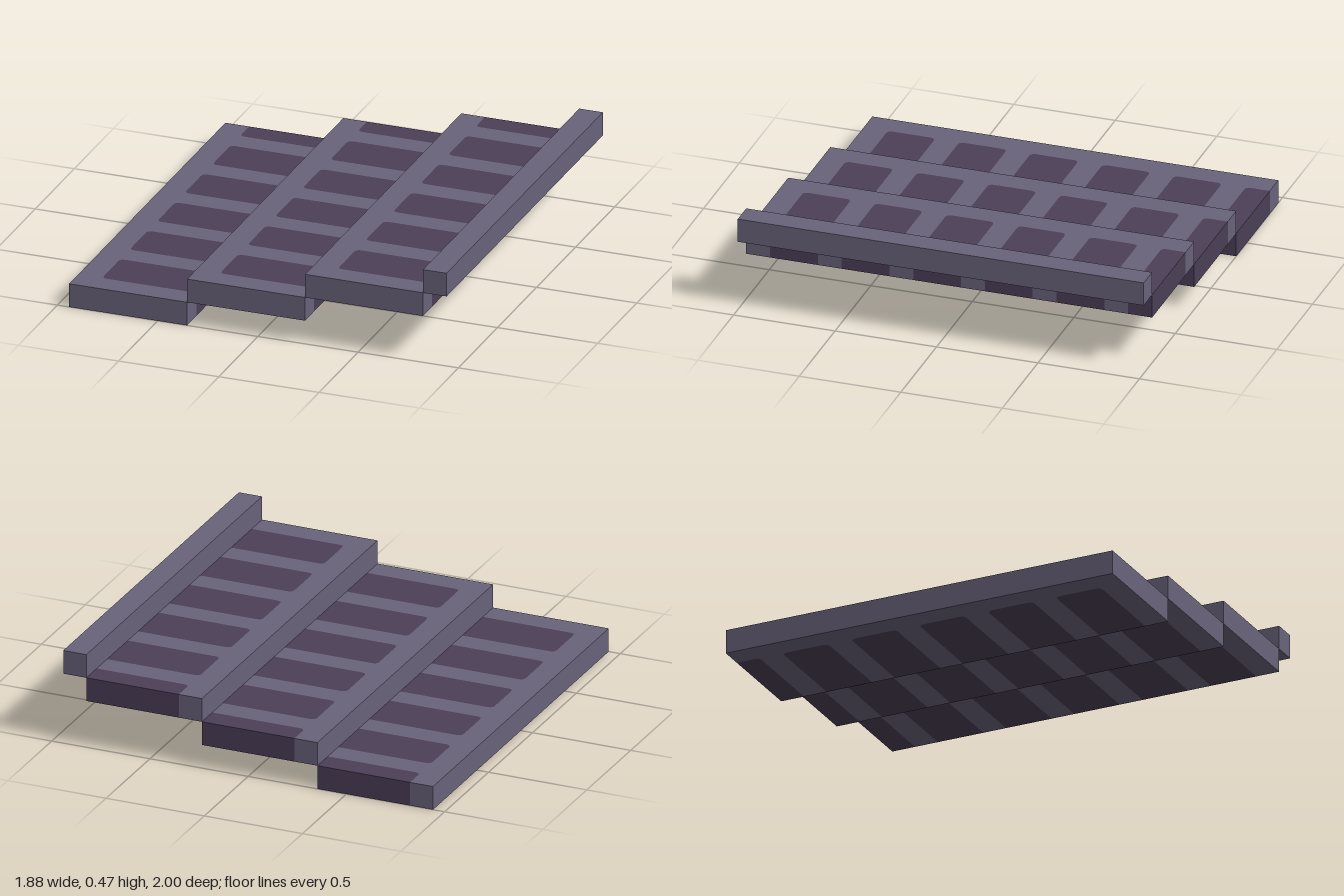
import * as THREE from 'three';

const U = 2 / 17;      // thickness of a slab; every size is a multiple of it
const HALF = 8.5;      // half the length
const R = 0.22;        // corner radius of an inlay

// Outline of one inlay, from its open end around the rounded end and back
function traceInlay(shape, k) {
  const b = 7.5 - 3 * k;
  const t = Math.min(b + 2, HALF);
  shape.lineTo(5, b);
  shape.lineTo(1 + R, b);
  shape.quadraticCurveTo(1, b, 1, b + R);
  if (k === 0) {
    shape.lineTo(1, t);  // the rearmost inlay is cut off by the back edge
  } else {
    shape.lineTo(1, t - R);
    shape.quadraticCurveTo(1, t, 1 + R, t);
    shape.lineTo(5, t);
  }
}

// Lays a flat shape down and gives it one unit of height
function slab(shape) {
  const geometry = new THREE.ExtrudeGeometry(shape, { depth: 1, bevelEnabled: false, curveSegments: 4 });
  return geometry.rotateX(-Math.PI / 2).scale(U, U, U);
}

export function createModel() {
  const model = new THREE.Group();
  model.name = 'steppedSlabs';

  const frameMaterial = new THREE.MeshStandardMaterial({ color: 0x69637a });
  frameMaterial.name = 'grey violet';
  const inlayMaterial = new THREE.MeshStandardMaterial({ color: 0x4b3f57 });
  inlayMaterial.name = 'dark plum';

  // Comb-shaped frame, open towards +x
  const comb = new THREE.Shape();
  comb.moveTo(0, -HALF);
  comb.lineTo(5, -HALF);
  for (let k = 5; k >= 0; k--) traceInlay(comb, k);
  comb.lineTo(0, HALF);
  const frameGeometry = slab(comb);

  // Inlays that fill the comb
  const inlayGeometries = [];
  for (let k = 0; k < 6; k++) {
    const b = 7.5 - 3 * k;
    const shape = new THREE.Shape();
    shape.moveTo(5, Math.min(b + 2, HALF));
    traceInlay(shape, k);
    inlayGeometries.push(slab(shape));
  }

  // Three overlapping steps
  for (let i = 0; i < 3; i++) {
    const step = new THREE.Group();
    step.name = `step${i + 1}`;
    const frame = new THREE.Mesh(frameGeometry, frameMaterial);
    frame.name = 'stepFrame';
    step.add(frame);
    inlayGeometries.forEach((geometry, k) => {
      const inlay = new THREE.Mesh(geometry, inlayMaterial);
      inlay.name = `inlay${k + 1}`;
      step.add(inlay);
    });
    step.position.set((-8 + 5 * i) * U, i * U, 0);
    model.add(step);
  }

  // Plain ridge bar at the top
  const ridge = new THREE.Mesh(new THREE.BoxGeometry(U, U, 2 * HALF * U), frameMaterial);
  ridge.name = 'ridgeBar';
  ridge.position.set(7.5 * U, 3.5 * U, 0);
  model.add(ridge);

  return model;
}
